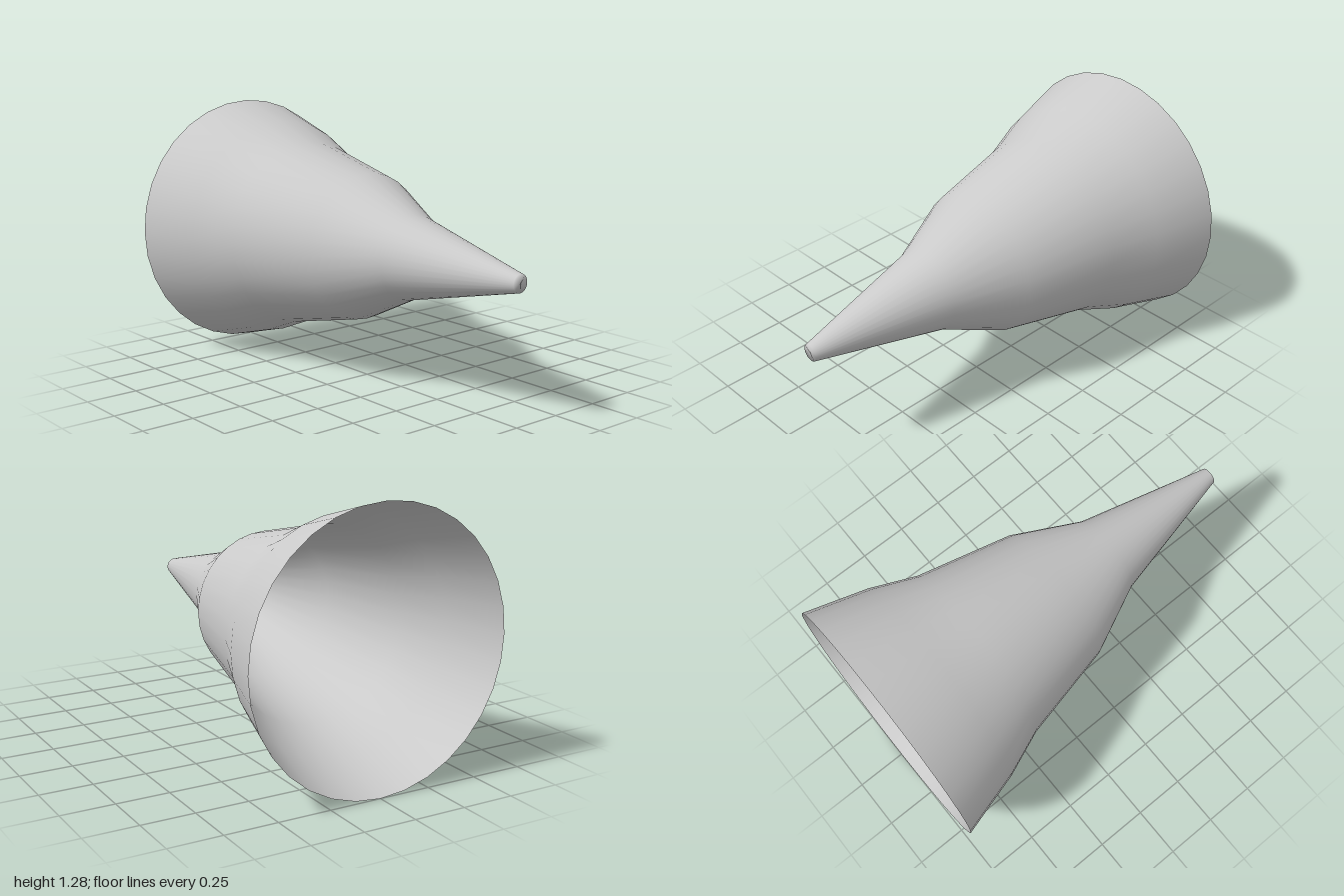
import * as THREE from 'three';

export function createModel() {
  const group = new THREE.Group();
  group.name = 'taperedCone';

  // Profile as [radius, position along the axis], from the open rim to the closed tip
  const profile = [
    [0.638, -1], [0.55, -0.69], [0.461, -0.47], [0.355, 0],
    [0.2, 0.33], [0.042, 1], [0, 1],
  ].map(([r, a]) => new THREE.Vector2(r, a));

  // Thin shell, open at the wide end, turned so its axis lies along x
  const shell = new THREE.Mesh(
    new THREE.LatheGeometry(profile, 32),
    new THREE.MeshStandardMaterial({ color: 0xcccccc, side: THREE.DoubleSide }),
  );
  shell.name = 'coneShell';
  shell.rotation.z = -Math.PI / 2;
  shell.position.y = 0.64;
  group.add(shell);

  return group;
}
